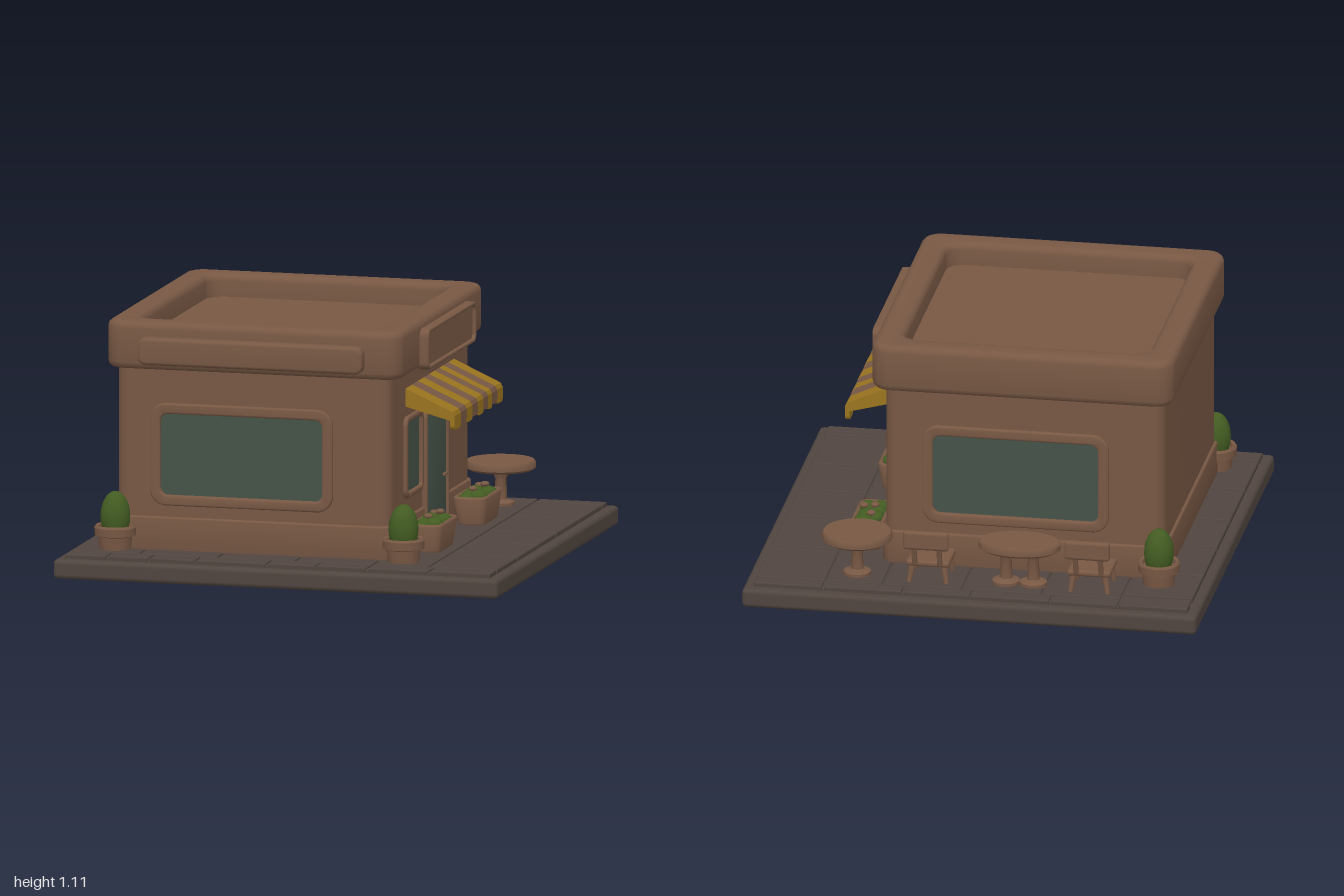
import * as THREE from 'three';
import { toCreasedNormals } from 'three/addons/utils/BufferGeometryUtils.js';
import { RoundedBoxGeometry } from 'three/addons/geometries/RoundedBoxGeometry.js';

const mat = (name, color) => Object.assign(new THREE.MeshStandardMaterial({ color }), { name });

export function createModel() {
  const model = new THREE.Group();
  const brown = mat('clay brown', 0x785844);
  const stone = mat('paving stone', 0x50453f);
  const teal = mat('dark glass', 0x455248);
  const green = mat('leaf green', 0x435c22);
  const yellow = mat('awning yellow', 0x9a741f);

  function add(name, geo, material, x = 0, y = 0, z = 0, parent = model) {
    const mesh = new THREE.Mesh(geo, material);
    mesh.name = name;
    mesh.position.set(x, y, z);
    parent.add(mesh);
    return mesh;
  }
  const box = (w, h, d, r = 0.01) => new RoundedBoxGeometry(w, h, d, 2, r);

  function roundRect(path, w, h, r) {
    const x = w / 2, y = h / 2;
    path.moveTo(-x + r, -y);
    path.lineTo(x - r, -y);
    path.absarc(x - r, -y + r, r, -Math.PI / 2, 0);
    path.lineTo(x, y - r);
    path.absarc(x - r, y - r, r, 0, Math.PI / 2);
    path.lineTo(-x + r, y);
    path.absarc(-x + r, y - r, r, Math.PI / 2, Math.PI);
    path.lineTo(-x, -y + r);
    path.absarc(-x + r, -y + r, r, Math.PI, Math.PI * 1.5);
    return path;
  }

  // Rounded plate growing along +z, with soft edges and an optional opening
  function slab(w, h, depth, r, b, hole) {
    const s = roundRect(new THREE.Shape(), w, h, r);
    if (hole) s.holes.push(roundRect(new THREE.Path(), hole[0], hole[1], hole[2]));
    const g = new THREE.ExtrudeGeometry(s, {
      depth: depth - 2 * b, bevelEnabled: b > 0, bevelThickness: b, bevelSize: b,
      bevelOffset: -b, bevelSegments: 3, curveSegments: 8,
    });
    return toCreasedNormals(g.translate(0, 0, b), 0.6);
  }
  const flat = (...a) => slab(...a).rotateX(-Math.PI / 2);

  // Ground slab and paving
  add('groundSlab', box(2, 0.085, 2, 0.02), stone, 0, 0.0425, 0);
  add('pavingBed', box(1.9, 0.05, 1.9), stone, 0, 0.072, 0);
  const tile = (x0, x1, z0, z1) => add('pavingTile',
    box(x1 - x0 - 0.009, 0.04, z1 - z0 - 0.009, 0.006), stone, (x0 + x1) / 2, 0.085, (z0 + z1) / 2);
  const row = (cuts, fn) => cuts.slice(1).forEach((c, i) => fn(cuts[i], c));
  row([-0.88, -0.5, -0.13, 0.18, 0.5, 0.85], (a, b) => tile(0.65, 0.96, a, b));
  row([-0.83, -0.55, -0.2, 0.13, 0.5, 0.85], (a, b) => tile(-0.96, -0.65, a, b));
  row([-0.96, -0.77, -0.58, -0.37, -0.05, 0.17, 0.4, 0.68, 0.96], (a, b) => tile(a, b, 0.85, 0.96));
  row([-0.96, -0.65, -0.35, 0, 0.3, 0.65, 0.96], (a, b) => tile(a, b, -0.96, -0.88));
  row([-0.88, -0.4, 0, 0.4, 0.85], (a, b) => tile(0.4, 0.65, a, b));
  row([-0.65, -0.3, 0.05, 0.4], (a, b) => { tile(a, b, -0.88, -0.5); tile(a, b, 0.6, 0.85); });

  // Walls, skirting and roof with a raised rim
  add('walls', flat(1.23, 1.33, 0.82, 0.06, 0), brown, -0.175, 0.09, 0.065);
  add('skirting', flat(1.255, 1.355, 0.155, 0.06, 0.008), brown, -0.175, 0.095, 0.065);
  add('roofDeck', flat(1.27, 1.36, 0.1, 0.05, 0), brown, -0.165, 0.91, 0.075);
  add('roofRim', flat(1.33, 1.41, 0.21, 0.085, 0.03, [1.08, 1.16, 0.08]), brown, -0.165, 0.9, 0.075);

  // Openings: group faces outward, frame plus glass
  function opening(name, x, y, z, turn, w, h, border, r, depth) {
    const g = new THREE.Group();
    g.name = name;
    g.position.set(x, y, z);
    g.rotation.y = turn;
    add(name + 'Frame', slab(w, h, depth, r, 0.008, [w - border * 2, h - border * 2, r * 0.5]), brown, 0, 0, 0, g);
    add(name + 'Pane', slab(w - border * 1.6, h - border * 1.6, 0.006, r * 0.4, 0), teal, 0, 0, 0, g);
    model.add(g);
    return g;
  }
  const side = Math.PI / 2;
  opening('frontWindow', -0.22, 0.528, 0.73, 0, 0.82, 0.45, 0.046, 0.07, 0.028);
  opening('backWindow', -0.14, 0.528, -0.6, Math.PI, 0.82, 0.45, 0.046, 0.07, 0.025);
  opening('sideWindow', 0.44, 0.515, 0.375, side, 0.28, 0.36, 0.026, 0.04, 0.022);
  const door = opening('door', 0.44, 0.388, 0.015, side, 0.37, 0.57, 0.024, 0.03, 0.025);
  add('doorPanel', slab(0.325, 0.53, 0.009, 0.02, 0.002), teal, 0, 0, 0.006, door);
  add('doorHandle', box(0.05, 0.014, 0.014, 0.005), brown, 0.115, -0.04, 0.024, door);

  // Blank sign boards
  add('frontSign', slab(1.01, 0.12, 0.07, 0.035, 0.015), brown, -0.16, 0.99, 0.77);
  const sideSign = new THREE.Group();
  sideSign.name = 'sideSign';
  sideSign.position.set(0.49, 0.985, 0.055);
  sideSign.rotation.y = side;
  add('sideSignFrame', slab(0.79, 0.18, 0.05, 0.035, 0.008, [0.75, 0.145, 0.025]), brown, 0, 0, 0, sideSign);
  add('sideSignPanel', slab(0.76, 0.155, 0.036, 0.02, 0), brown, 0, 0, 0, sideSign);
  model.add(sideSign);

  // Striped awning with scalloped valance
  const canopy = new THREE.Shape([[0.44, 0.815], [0.65, 0.72], [0.66, 0.7], [0.645, 0.68], [0.44, 0.735]]
    .map(([x, y]) => new THREE.Vector2(x, y)));
  row([-0.33, -0.24, -0.155, -0.09, -0.015, 0.075, 0.165, 0.26, 0.355, 0.46], (a, b) => {
    const odd = [-0.33, -0.155, -0.015, 0.165, 0.355].includes(a);
    const w = b - a, m = odd ? yellow : brown, drop = odd ? 0.64 : 0.65;
    add('awningStripe', new THREE.ExtrudeGeometry(canopy, { depth: w, bevelEnabled: false }), m, 0, 0, a);
    const s = new THREE.Shape();
    s.moveTo(-w / 2, 0.705);
    s.lineTo(-w / 2, drop + 0.02);
    s.quadraticCurveTo(-w / 2, drop, -w / 4, drop);
    s.lineTo(w / 4, drop);
    s.quadraticCurveTo(w / 2, drop, w / 2, drop + 0.02);
    s.lineTo(w / 2, 0.705);
    add('awningValance', new THREE.ExtrudeGeometry(s, { depth: 0.02, bevelEnabled: false })
      .rotateY(side), m, 0.64, 0, (a + b) / 2);
  });

  // Potted bushes
  const potProfile = [[0, 0.1], [0.068, 0.1], [0.074, 0.16], [0.09, 0.165], [0.092, 0.2], [0.085, 0.21],
    [0.073, 0.205], [0.07, 0.185], [0, 0.185]].map(([x, y]) => new THREE.Vector2(x, y));
  const potGeo = toCreasedNormals(new THREE.LatheGeometry(potProfile, 24), 0.6);
  const bushGeo = new THREE.SphereGeometry(1, 20, 14).scale(0.065, 0.11, 0.065);
  for (const [x, z] of [[-0.785, 0.755], [0.51, 0.75], [-0.78, -0.665]]) {
    add('pot', potGeo, brown, x, 0, z);
    add('bush', bushGeo, green, x, 0.247, z);
  }

  // Flower troughs, narrowing toward the ground
  for (const z of [0.375, -0.355]) {
    const g = flat(0.15, 0.32, 0.13, 0.045, 0.01, [0.11, 0.28, 0.03]);
    const p = g.attributes.position;
    for (let i = 0; i < p.count; i++) {
      const k = 0.8 + 0.2 * Math.min(1, p.getY(i) / 0.1);
      p.setX(i, p.getX(i) * k);
      p.setZ(i, p.getZ(i) * k);
    }
    add('flowerTrough', g, brown, 0.54, 0.1, z);
    add('troughSoil', box(0.105, 0.08, 0.25, 0.02), brown, 0.54, 0.15, z);
    for (let i = 0; i < 7; i++) {
      add('leaves', new THREE.SphereGeometry(1, 12, 8).scale(0.042, 0.03, 0.045), green,
        0.54 + (i % 2 ? 0.025 : -0.02), 0.21 + (i % 3) * 0.006, z - 0.11 + i * 0.037);
    }
    for (let i = 0; i < 3; i++) {
      add('flower', new THREE.SphereGeometry(1, 10, 6).scale(0.02, 0.012, 0.022), brown,
        0.53 + (i % 2) * 0.04, 0.25 + (i % 2) * 0.015, z - 0.06 + i * 0.05);
    }
  }

  // Round cafe tables
  function table(x, z, rx, rz, posts) {
    const top = [[0, 0.26], [0.9, 0.26], [1, 0.27], [1, 0.295], [0.96, 0.303], [0, 0.303]]
      .map(([a, b]) => new THREE.Vector2(a, b));
    add('tableTop', toCreasedNormals(new THREE.LatheGeometry(top, 32).scale(rx, 1, rz), 0.7), brown, x, 0, z);
    for (const dx of posts) {
      const stem = [[0, 0.1], [0.06, 0.1], [0.06, 0.118], [0.028, 0.13], [0.024, 0.22], [0.045, 0.262]]
        .map(([a, b]) => new THREE.Vector2(a, b));
      add('tableStem', toCreasedNormals(new THREE.LatheGeometry(stem, 20), 0.7), brown, x + dx, 0, z);
    }
  }
  table(0.53, -0.77, 0.152, 0.152, [0]);
  table(-0.185, -0.768, 0.18, 0.12, [-0.06, 0.06]);

  // Chairs facing the building
  for (const x of [-0.5, 0.21]) {
    const chair = new THREE.Group();
    chair.name = 'chair';
    chair.position.set(x, 0, -0.745);
    add('seat', box(0.19, 0.026, 0.185, 0.011), brown, 0, 0.192, 0, chair);
    add('backrest', box(0.2, 0.085, 0.032, 0.014), brown, 0, 0.315, -0.128, chair);
    for (const sx of [-1, 1]) {
      const post = add('backPost', box(0.022, 0.11, 0.02, 0.006), brown, sx * 0.055, 0.24, -0.105, chair);
      post.rotation.x = -0.3;
      for (const sz of [-1, 1]) {
        const leg = add('leg', new THREE.CylinderGeometry(0.015, 0.011, 0.1, 10), brown,
          sx * 0.075, 0.145, sz * 0.075, chair);
        leg.rotation.set(-sz * 0.15, 0, sx * 0.15);
      }
    }
    model.add(chair);
  }
  return model;
}
